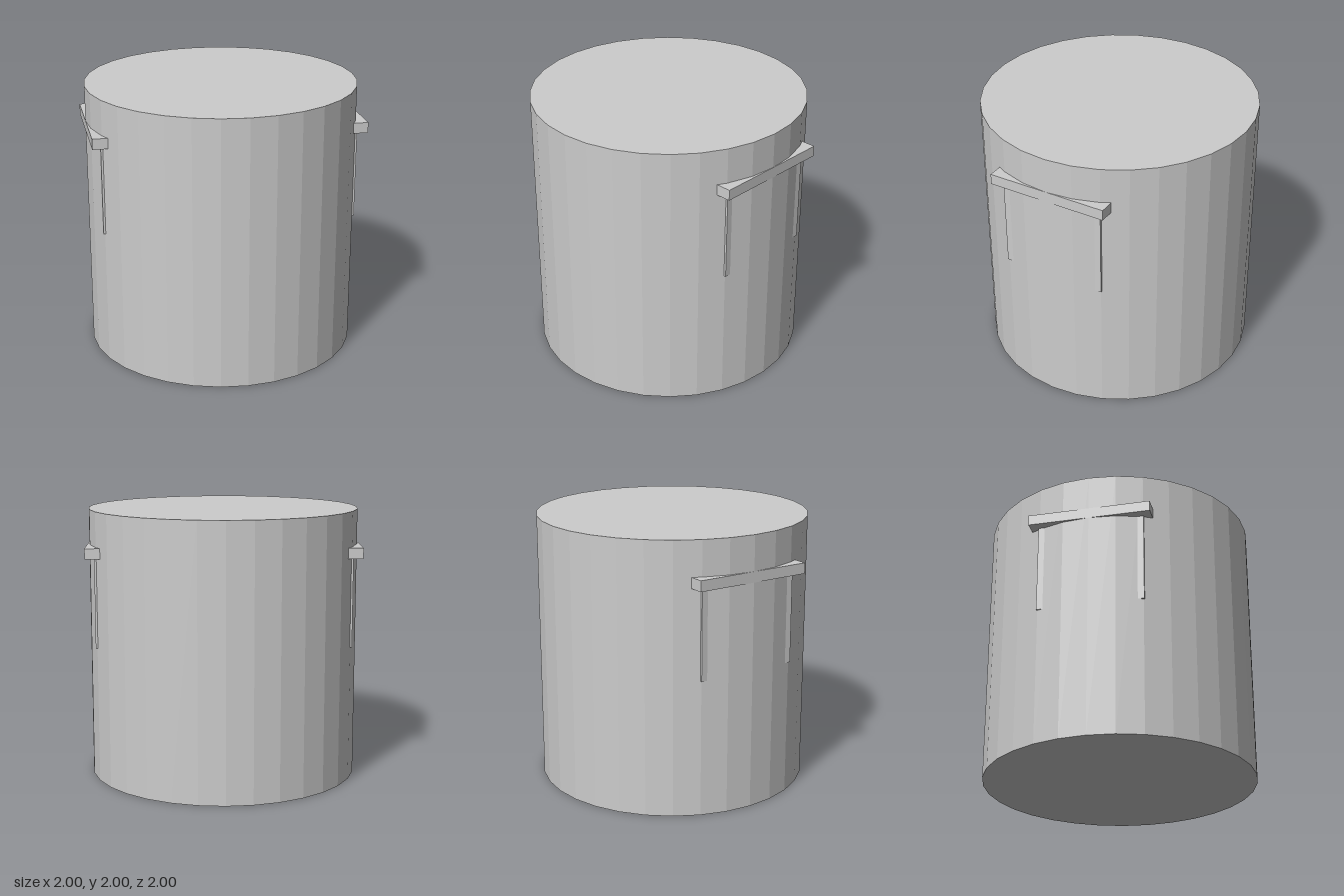
import * as THREE from 'three';

export function createModel() {
  const model = new THREE.Group();
  const grey = new THREE.MeshStandardMaterial({ color: 0xcccccc });
  grey.name = 'light grey';

  // Drum: faceted wall with flat caps
  const drum = new THREE.Mesh(
    new THREE.CylinderGeometry(1, 1, 2, 32).toNonIndexed(), grey);
  drum.geometry.computeVertexNormals();
  drum.name = 'drum';
  drum.position.y = 1;
  model.add(drum);

  // Box given by its minimum and maximum corners
  function addBox(parent, name, min, max) {
    const size = max.map((v, i) => v - min[i]);
    const mesh = new THREE.Mesh(new THREE.BoxGeometry(...size), grey);
    mesh.name = name;
    mesh.position.set(...max.map((v, i) => (v + min[i]) / 2));
    parent.add(mesh);
  }

  // Handles: a crossbar on two slim posts, sunk into each side
  for (const [side, name] of [[1, 'leftHandle'], [-1, 'rightHandle']]) {
    const handle = new THREE.Group();
    handle.name = name;
    addBox(handle, 'crossbar', [0.88, 1.665, -0.447], [1, 1.743, 0.447]);
    addBox(handle, 'frontPost', [0.88, 1.005, 0.31], [0.936, 1.67, 0.389]);
    addBox(handle, 'backPost', [0.88, 1.005, -0.389], [0.936, 1.67, -0.31]);
    if (side < 0) handle.rotation.y = Math.PI;
    model.add(handle);
  }

  return model;
}
